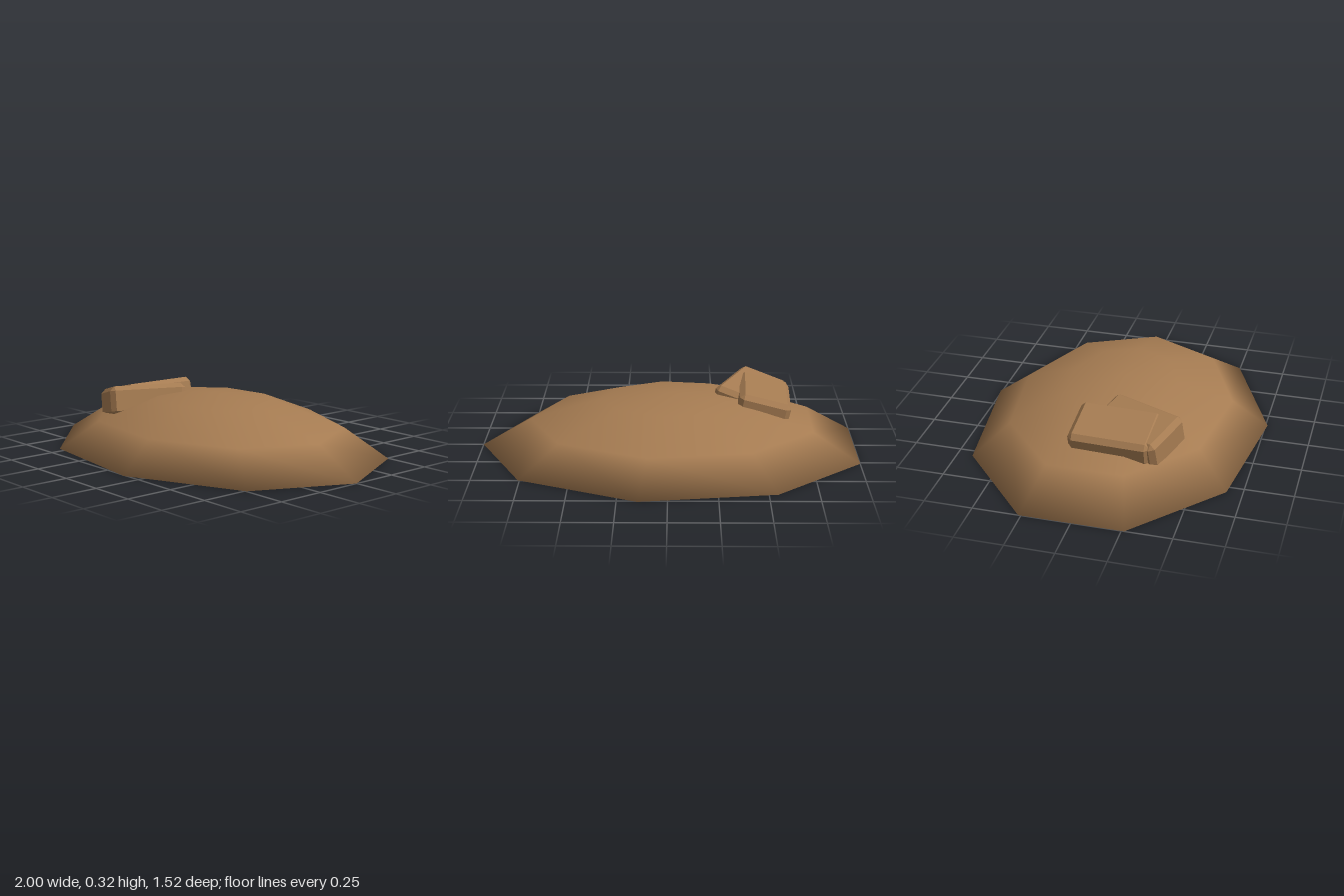
import * as THREE from 'three';
import { ConvexGeometry } from 'three/addons/geometries/ConvexGeometry.js';

const SIDES = 9;

// Nine-sided mound with a flat base; each vertex normal is the mean of its face normals
function moundGeometry() {
  const profile = [[1, 0], [0.75, 0.15], [0.375, 0.266]]; // radius, height
  const points = [];
  for (const [r, y] of profile) {
    for (let i = 0; i < SIDES; i++) {
      const a = (i / SIDES) * Math.PI * 2;
      points.push(new THREE.Vector3(1.031 * r * Math.cos(a) - 0.031, y, 0.772 * r * Math.sin(a)));
    }
  }
  const apex = points.push(new THREE.Vector3(-0.031, 0.3, 0)) - 1;
  const base = points.push(new THREE.Vector3(-0.031, 0, 0)) - 1;

  const faces = [];
  for (let i = 0; i < SIDES; i++) {
    const j = (i + 1) % SIDES;
    for (let k = 0; k < profile.length - 1; k++) {
      const lo = k * SIDES, hi = lo + SIDES;
      faces.push([lo + i, hi + i, hi + j, lo + j]);
    }
    const top = (profile.length - 1) * SIDES;
    faces.push([top + i, apex, top + j]);
    faces.push([i, j, base]);
  }

  const normals = points.map(() => new THREE.Vector3());
  const index = [];
  for (const f of faces) {
    const [a, b, c] = f.map((v) => points[v]);
    const n = b.clone().sub(a).cross(c.clone().sub(a)).normalize();
    f.forEach((v) => normals[v].add(n));
    for (let k = 1; k < f.length - 1; k++) index.push(f[0], f[k], f[k + 1]);
  }
  normals.forEach((n) => n.normalize());

  const geometry = new THREE.BufferGeometry().setFromPoints(points);
  geometry.setAttribute('normal', new THREE.Float32BufferAttribute(normals.flatMap((n) => n.toArray()), 3));
  geometry.setIndex(index);
  return geometry;
}

// Box with every edge and corner cut flat
function chamferedBox(w, h, d, b) {
  const points = [];
  for (const sx of [-1, 1]) for (const sy of [-1, 1]) for (const sz of [-1, 1]) {
    const x = w / 2, y = h / 2, z = d / 2;
    points.push(
      new THREE.Vector3(sx * x, sy * (y - b), sz * (z - b)),
      new THREE.Vector3(sx * (x - b), sy * y, sz * (z - b)),
      new THREE.Vector3(sx * (x - b), sy * (y - b), sz * z)
    );
  }
  return new ConvexGeometry(points);
}

export function createModel() {
  const group = new THREE.Group();
  group.name = 'moundWithSlabs';
  const earth = new THREE.MeshStandardMaterial({ color: 0xa67c52 });
  earth.name = 'earthBrown';

  const mound = new THREE.Mesh(moundGeometry(), earth);
  mound.name = 'mound';
  group.add(mound);

  // Two slabs leaning into the slope, crossing each other
  const slabs = [
    ['straightSlab', -0.505, 0.09, -0.04, 0.425],
    ['turnedSlab', -0.44, 0.18, -0.41, 0.42],
  ];
  for (const [name, x, z, yaw, length] of slabs) {
    const slab = new THREE.Mesh(chamferedBox(0.28, 0.16, length, 0.025), earth);
    slab.name = name;
    slab.position.set(x, 0.218, z);
    slab.rotation.set(0, yaw, 0.24, 'YXZ');
    group.add(slab);
  }
  return group;
}
